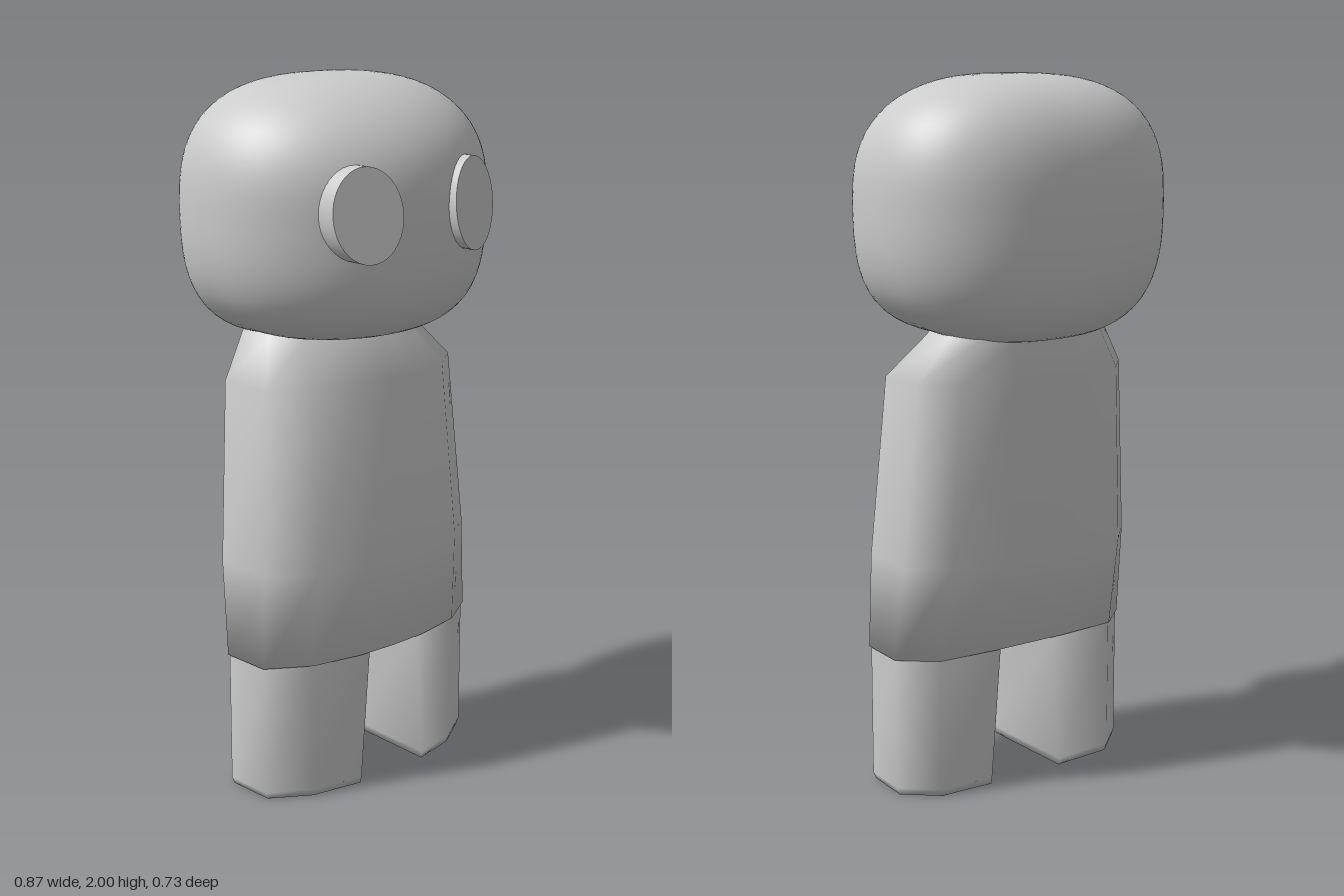
import * as THREE from 'three';
import { mergeVertices } from 'three/addons/utils/BufferGeometryUtils.js';

const material = new THREE.MeshStandardMaterial({ color: 0xcccccc });

function part(name, geometry) {
  const mesh = new THREE.Mesh(geometry, material);
  mesh.name = name;
  return mesh;
}

// Middle point of a ring, used as the hub of its cap.
function hub(ring) {
  return [0, 1, 2].map((axis) => ring.reduce((sum, p) => sum + p[axis], 0) / ring.length);
}

// Skin a stack of rings (bottom to top, each counter-clockwise from above) and cap both ends.
function loft(rings) {
  const n = rings[0].length, last = (rings.length - 1) * n;
  const bottomHub = last + n, topHub = bottomHub + 1;
  const positions = [...rings.flat(), hub(rings[0]), hub(rings[rings.length - 1])].flat();
  const index = [];
  for (let j = 0; j < n; j++) {
    const next = (j + 1) % n;
    for (let r = 0; r < last; r += n) {
      const a = r + j, b = r + next;
      index.push(a, b, b + n, a, b + n, a + n);
    }
    index.push(bottomHub, next, j, topHub, last + j, last + next);
  }
  const g = new THREE.BufferGeometry();
  g.setAttribute('position', new THREE.Float32BufferAttribute(positions, 3));
  g.setIndex(index);
  g.computeVertexNormals();
  return g;
}

// Rounded box head: sloping forehead, full jaw and back, turned very slightly.
function headGeometry() {
  let g = new THREE.IcosahedronGeometry(1, 14);
  g.deleteAttribute('normal');
  g.deleteAttribute('uv');
  g = mergeVertices(g, 1e-4);
  const p = g.attributes.position, v = new THREE.Vector3();
  for (let i = 0; i < p.count; i++) {
    v.fromBufferAttribute(p, i);
    const m = 2.2 - 0.25 * v.z;
    const k = 2.75 - 0.7 * v.y * Math.max(v.z, 0) - 0.4 * Math.min(v.y, 0);
    const around = Math.pow(Math.abs(v.x) ** m + Math.abs(v.z) ** m, 1 / m);
    v.divideScalar(Math.pow(around ** k + Math.abs(v.y) ** k, 1 / k));
    const sag = v.y < 0 ? -0.035 * v.y * Math.min(v.z, 0) : 0;
    p.setXYZ(i, 0.437 * v.x, 1.645 + v.y * (v.y > 0 ? 0.355 : 0.36) + sag,
      -0.05 + v.z * (v.z > 0 ? 0.39 : 0.315) + 0.02 * v.x);
  }
  g.computeVertexNormals();
  return g;
}

// Torso outline, right half from front to back, in unit width and depth.
const half = [[0, 1], [0.3, 0.97], [0.68, 0.8], [0.98, 0.38], [1, -0.47], [0.76, -0.93], [0.3, -1], [0, -1]];
const outline = [...half, ...half.slice(1, -1).reverse().map(([x, z]) => [-x, z])];

function torsoRing([y, width, back, front]) {
  const mid = (front + back) / 2, depth = (front - back) / 2;
  return outline.map(([x, z]) => [x * width, y, mid + z * depth]);
}

// Leg outline on the +x side, from the inner front corner around to the inner back corner.
const legOutline = [[0.1, 0.2], [0.27, 0.17], [0.384, 0.098], [0.393, -0.045], [0.3, -0.126], [0.1, -0.136]];

// Legs taper on the inside and run up into the torso.
function legRings(side, shift) {
  return [[0, 0.03, 0.98], [0.02, 0.03, 1], [0.4, 0, 1], [0.5, 0, 0.93]].map(([y, inset, s]) => {
    const ring = legOutline.map(([x, z]) => [side * (x < 0.2 ? x + inset + shift : x * s), y, z * s]);
    return side > 0 ? ring : ring.reverse();
  });
}

// Oval disc pushed straight forward, its face slanted by the given slopes.
function eyeGeometry(slopeX, slopeY) {
  const g = new THREE.CylinderGeometry(1, 1, 0.06, 40).rotateX(Math.PI / 2).scale(0.092, 0.126, 1);
  return g.applyMatrix4(new THREE.Matrix4().set(
    1, 0, 0, 0,
    0, 1, 0, 0,
    slopeX, slopeY, 1, 0,
    0, 0, 0, 1));
}

export function createModel() {
  const model = new THREE.Group();
  model.name = 'figure';

  model.add(part('head', headGeometry()));

  // Each ring: height, half width, back, front
  const torso = [
    [0.4, 0.397, -0.14, 0.21], [0.67, 0.387, -0.19, 0.23],
    [1.18, 0.35, -0.203, 0.19], [1.3, 0.265, -0.2, 0.07], [1.42, 0.2, -0.17, 0.02],
  ].map(torsoRing);
  model.add(part('torso', loft(torso)));

  model.add(part('leftLeg', loft(legRings(1, 0))));
  model.add(part('rightLeg', loft(legRings(-1, -0.018))));

  // Eyes
  for (const [name, x, z, slope] of [['leftEye', 0.163, 0.312, -0.243], ['rightEye', -0.2, 0.289, 0.37]]) {
    const eye = part(name, eyeGeometry(slope, -0.09));
    eye.position.set(x, 1.668, z);
    model.add(eye);
  }
  return model;
}
